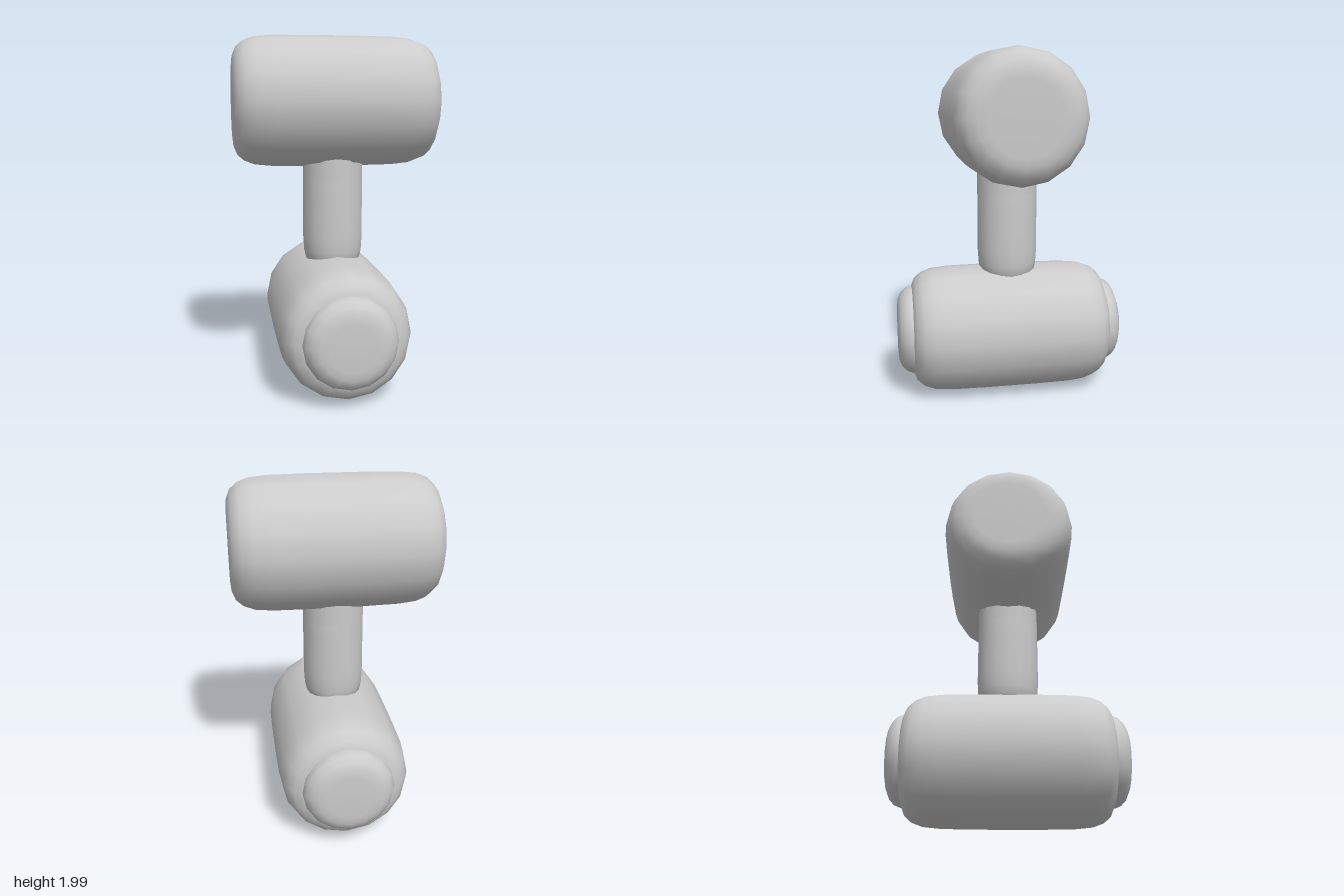
import * as THREE from 'three';

const material = new THREE.MeshStandardMaterial({ color: 0xcccccc });

// Soft-ended 16-sided roller, symmetric about its middle.
// half: [radius, height] pairs from the end centre towards the waist.
function roller(name, half) {
  const lower = half.map(([r, h]) => new THREE.Vector2(r, -h));
  const upper = half.map(([r, h]) => new THREE.Vector2(r, h)).reverse();
  const mesh = new THREE.Mesh(new THREE.LatheGeometry([...lower, ...upper], 16), material);
  mesh.name = name;
  return mesh;
}

const barrelProfile = [
  [0, 0.576], [0.2, 0.575], [0.25, 0.57], [0.3, 0.55],
  [0.335, 0.51], [0.357, 0.45], [0.367, 0.35], [0.37, 0.15],
];
const axleProfile = [
  [0, 0.657], [0.13, 0.656], [0.18, 0.65], [0.215, 0.635],
  [0.243, 0.607], [0.256, 0.575], [0.26, 0.5], [0.26, 0.2],
];
const postProfile = [
  [0, 0.36], [0.1, 0.358], [0.14, 0.34], [0.16, 0.295],
  [0.17, 0.25], [0.175, 0.17], [0.175, 0.06],
];

export function createModel() {
  const group = new THREE.Group();
  group.name = 'stackedRollers';

  // Upper barrel lying across x
  const upper = roller('upperBarrel', barrelProfile);
  upper.rotation.z = Math.PI / 2;
  upper.position.y = 1.63;

  // Lower barrel lying along z, with an axle showing at both ends
  const lower = roller('lowerBarrel', barrelProfile);
  const axle = roller('axle', axleProfile);
  for (const part of [lower, axle]) {
    part.rotation.x = Math.PI / 2;
    part.position.y = 0.38;
  }

  // Upright post joining the barrels
  const post = roller('post', postProfile);
  post.position.y = 1.02;
  post.scale.y = 1.0;

  // Straight top of the post, running into the upper barrel
  const neck = new THREE.Mesh(new THREE.CylinderGeometry(0.175, 0.175, 0.4, 16, 1, true), material);
  neck.name = 'postTop';
  neck.position.y = 1.2;

  group.add(upper, lower, axle, post, neck);
  return group;
}
